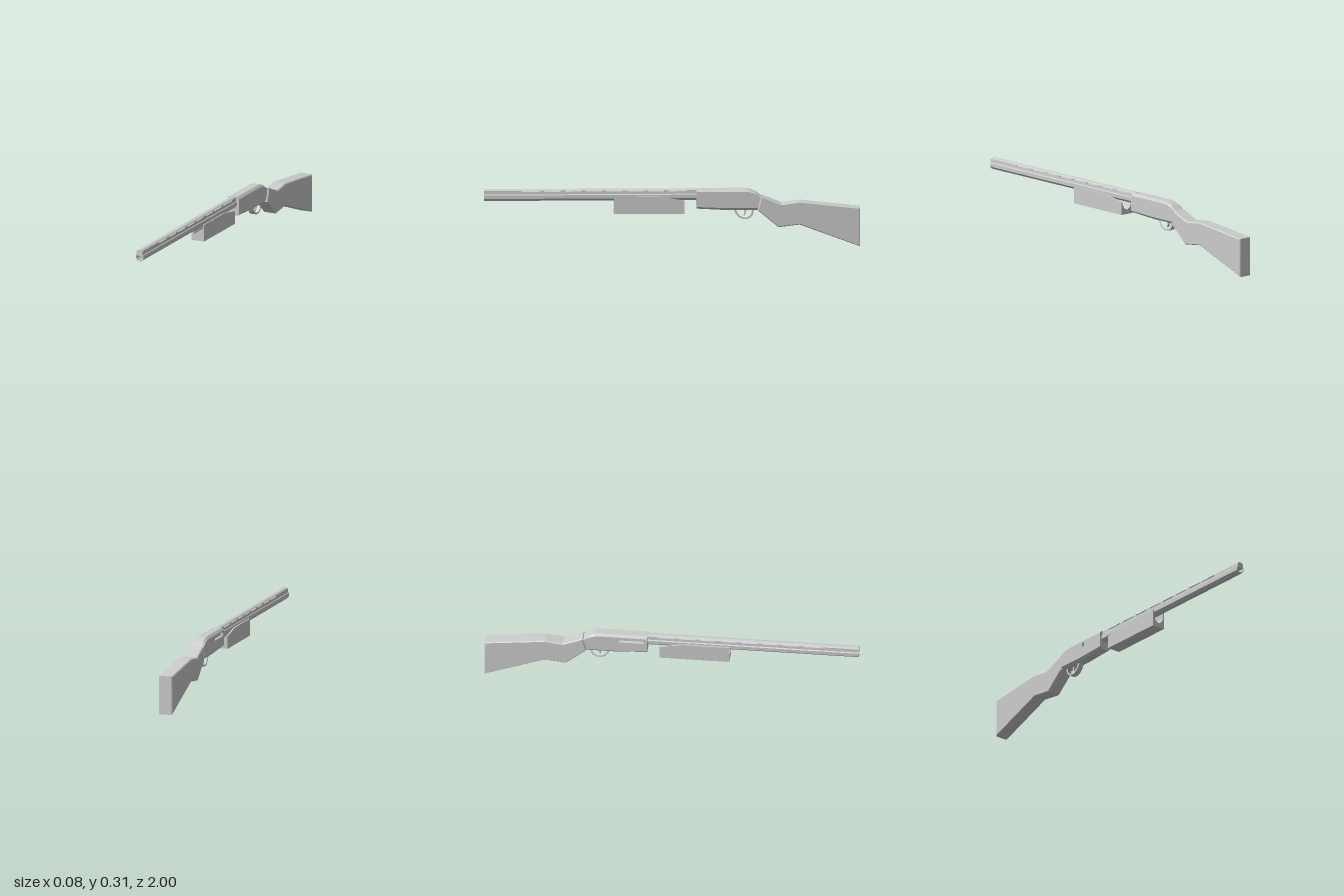
import * as THREE from 'three';

const material = new THREE.MeshStandardMaterial({ color: 0xcccccc, flatShading: true });
const AXIS_X = -0.006; // barrel and receiver sit slightly off centre

const toShape = (points) => new THREE.Shape(points.map(([a, b]) => new THREE.Vector2(a, b)));

function part(name, geometry) {
  const mesh = new THREE.Mesh(geometry, material);
  mesh.name = name;
  return mesh;
}

// Extrude a [z, y] side profile across x from x0 to x1
function sideExtrude(profile, x0, x1, holes = [], bevel = 0) {
  const shape = toShape(profile);
  holes.forEach((h) => shape.holes.push(toShape(h)));
  const geometry = new THREE.ExtrudeGeometry(shape, {
    depth: x1 - x0 - 2 * bevel,
    bevelEnabled: bevel > 0,
    bevelSize: bevel,
    bevelThickness: bevel,
    bevelOffset: -bevel,
    bevelSegments: 1,
  });
  return geometry.rotateY(-Math.PI / 2).translate(x1 - bevel, 0, 0);
}

// Extrude an [x, y] section along z from z0 to z1
function lengthExtrude(section, z0, z1, steps = 1) {
  return new THREE.ExtrudeGeometry(toShape(section), { depth: z1 - z0, steps, bevelEnabled: false })
    .translate(0, 0, z0);
}

// Pull the vertices on the plane x = outer towards mid height, making a chamfer
function chamfer(geometry, outer) {
  const p = geometry.attributes.position;
  for (let i = 0; i < p.count; i++) {
    if (Math.abs(p.getX(i) - outer) < 1e-4) p.setY(i, 0.255 + (p.getY(i) - 0.255) * 0.78);
  }
  geometry.computeVertexNormals();
  return geometry;
}

function createBarrel() {
  const barrel = new THREE.Group();
  barrel.name = 'barrel';

  // Hollow eight-sided tube with a closed bore end
  const tube = new THREE.LatheGeometry(
    [[0, -0.14], [0.024, -0.14], [0.024, 1], [0.019, 1], [0.019, 0.6], [0, 0.6]]
      .map(([r, z]) => new THREE.Vector2(r, z)), 8, Math.PI / 8);
  tube.rotateX(Math.PI / 2).translate(AXIS_X, 0.273, 0);
  barrel.add(part('barrelTube', tube));

  // Sighting rib: a base web, a rounded top strip and posts between the vents
  const web = [[-0.018, 0.28], [0.018, 0.28], [0.017, 0.3], [-0.017, 0.3]];
  const strip = [[-0.017, 0.305], [0.017, 0.305], [0.011, 0.311], [0, 0.313], [-0.011, 0.311]];
  const shift = (s) => s.map(([x, y]) => [x + AXIS_X, y]);
  barrel.add(part('ribBase', lengthExtrude(shift(web), -0.14, 1)));
  barrel.add(part('ribTop', lengthExtrude(shift(strip), -0.14, 1)));

  const post = (z0, z1) => {
    const box = new THREE.BoxGeometry(0.034, 0.007, z1 - z0);
    barrel.add(part('ribPost', box.translate(AXIS_X, 0.3025, (z0 + z1) / 2)));
  };
  post(0.8, 1);
  post(-0.14, -0.08);
  for (let i = 1; i < 8; i++) post(-0.08 + i * 0.11 - 0.012, -0.08 + i * 0.11 + 0.012);
  return barrel;
}

function createForend() {
  // Square block with a rounded channel along its top
  const section = [
    [-0.038, 0.183], [0.038, 0.183], [0.038, 0.275], [0.032, 0.275], [0.032, 0.24],
    [0.02, 0.218], [0, 0.206], [-0.02, 0.218], [-0.03, 0.24], [-0.03, 0.275], [-0.038, 0.275],
  ];
  const geometry = lengthExtrude(section, -0.065, 0.31, 3);
  // The top slopes down over the rear third
  const p = geometry.attributes.position;
  for (let i = 0; i < p.count; i++) {
    if (p.getZ(i) < -0.06) p.setY(i, Math.min(p.getY(i), 0.252));
  }
  geometry.computeVertexNormals();
  return part('forend', geometry);
}

function createReceiver() {
  const receiver = new THREE.Group();
  receiver.name = 'receiver';
  const profile = [
    [-0.13, 0.207], [-0.13, 0.311], [-0.37, 0.311], [-0.41, 0.308], [-0.44, 0.296],
    [-0.472, 0.273], [-0.455, 0.198], [-0.3, 0.198],
  ];
  const port = [[-0.15, 0.272], [-0.15, 0.3], [-0.28, 0.3], [-0.28, 0.272]];
  // Chamfered side slabs around the core; the right-hand one has the port opening
  receiver.add(part('receiverCore', sideExtrude(profile, -0.027, 0.018)));
  receiver.add(part('receiverPortSide', chamfer(sideExtrude(profile, -0.039, -0.027, [port]), -0.039)));
  receiver.add(part('receiverPlainSide', chamfer(sideExtrude(profile, 0.018, 0.03), 0.03)));
  return receiver;
}

function createTrigger() {
  const group = new THREE.Group();
  group.name = 'triggerGroup';
  const outer = [
    [-0.325, 0.203], [-0.34, 0.175], [-0.355, 0.158], [-0.375, 0.149], [-0.4, 0.149],
    [-0.42, 0.158], [-0.432, 0.175], [-0.437, 0.203],
  ];
  const inner = [
    [-0.342, 0.199], [-0.35, 0.178], [-0.361, 0.166], [-0.377, 0.158], [-0.398, 0.158],
    [-0.413, 0.165], [-0.422, 0.178], [-0.426, 0.199],
  ];
  group.add(part('triggerGuard', sideExtrude(outer, -0.018, 0.012, [inner])));
  const blade = [
    [-0.378, 0.203], [-0.386, 0.185], [-0.38, 0.166], [-0.386, 0.165], [-0.395, 0.185], [-0.394, 0.203],
  ];
  group.add(part('trigger', sideExtrude(blade, -0.009, 0.003)));
  return group;
}

function createStock() {
  const profile = [
    [-0.475, 0.274], [-0.58, 0.232], [-0.678, 0.245], [-1, 0.21], [-1, 0.002],
    [-0.678, 0.121], [-0.565, 0.107], [-0.456, 0.199],
  ];
  return part('stock', sideExtrude(profile, -0.038, 0.038, [], 0.005));
}

export function createModel() {
  const model = new THREE.Group();
  model.name = 'longGun';
  model.add(createBarrel(), createForend(), createReceiver(), createTrigger(), createStock());
  // Stand exactly on the ground
  model.position.y = -new THREE.Box3().setFromObject(model).min.y;
  return model;
}
